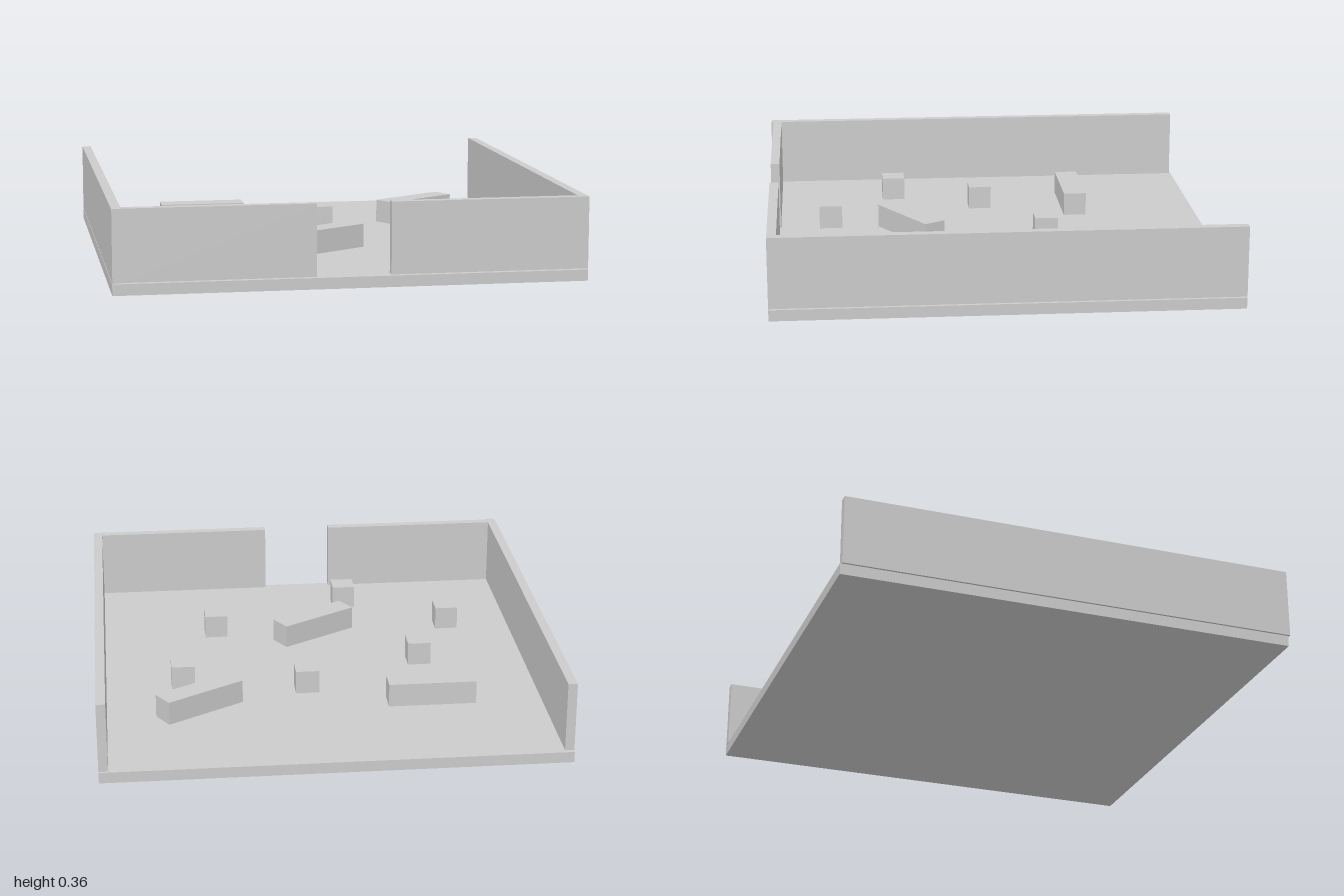
import * as THREE from 'three';

const FLOOR_TOP = 0.048, WALL_BOTTOM = 0.053, WALL_TOP = 0.358, BLOCK = 0.104;

export function createModel() {
  const model = new THREE.Group();
  model.name = 'walledYard';
  const material = new THREE.MeshStandardMaterial({ color: 0xcccccc });

  // box given by its extents along x, y and z
  const slab = (name, [x0, x1], [y0, y1], [z0, z1]) => {
    const mesh = new THREE.Mesh(new THREE.BoxGeometry(x1 - x0, y1 - y0, z1 - z0), material);
    mesh.position.set((x0 + x1) / 2, (y0 + y1) / 2, (z0 + z1) / 2);
    mesh.name = name;
    model.add(mesh);
    return mesh;
  };

  // floor plate
  slab('floor', [-0.997, 0.997], [0, FLOOR_TOP], [-1, 0.99]);

  // walls sit a hair above the floor; the back is open, the front has a gateway
  const wallY = [WALL_BOTTOM, WALL_TOP];
  slab('rightWall', [-0.997, -0.957], wallY, [-0.99, 1]);
  slab('leftWall', [0.957, 0.997], wallY, [-1, 0.95]);
  slab('frontWallRight', [-0.957, -0.156], wallY, [0.95, 0.99]);
  slab('frontWallLeft', [0.156, 0.997], wallY, [0.95, 0.99]);

  // obstacles standing on the floor: x, z, length, turn about y
  const block = (name, x, z, length, turn = 0) => {
    const mesh = new THREE.Mesh(new THREE.BoxGeometry(length, BLOCK, BLOCK), material);
    mesh.position.set(x, FLOOR_TOP + BLOCK / 2, z);
    mesh.rotation.y = turn;
    mesh.name = name;
    model.add(mesh);
  };

  // small crates
  [[0.065, -0.252], [0.613, -0.151], [-0.474, 0.009], [-0.661, 0.413], [0.434, 0.413], [-0.202, 0.72]]
    .forEach(([x, z], i) => block(`crate${i + 1}`, x, z, BLOCK));

  // long barriers
  [[-0.471, -0.429, 0], [0.551, -0.426, 0.545], [-0.024, 0.356, 0.545]]
    .forEach(([x, z, turn], i) => block(`barrier${i + 1}`, x, z, 0.387, turn));

  return model;
}
